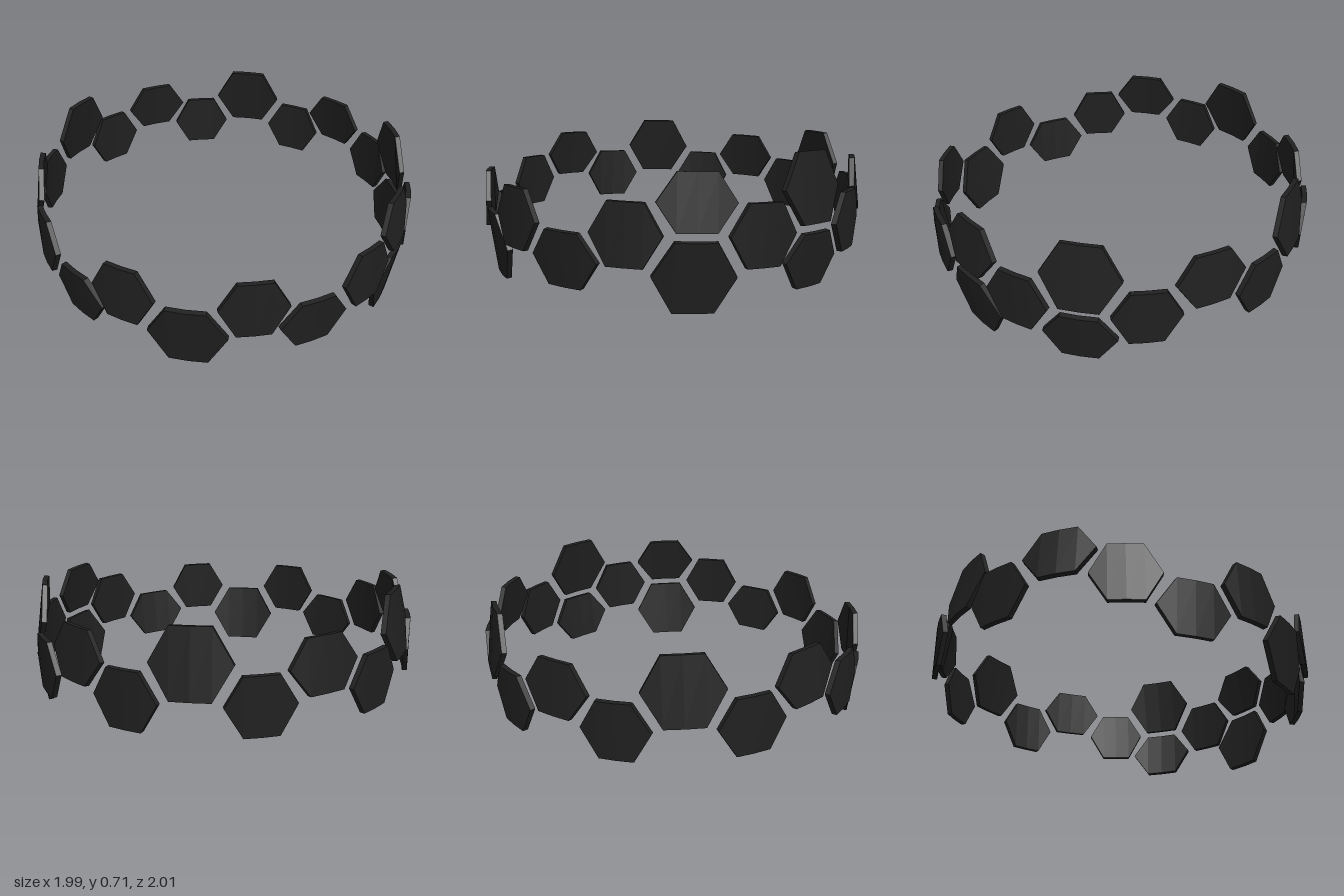
import * as THREE from 'three';

const RING_Y = 0.357;   // height of the ring's centre line
const STEPS = 20;       // stations around the ring
const THICKNESS = 0.026;

// Hexagonal tile: a box whose ends taper to points, bent to follow the ring
function tileGeometry(width, height) {
  const geo = new THREE.BoxGeometry(width, height, THICKNESS, 4, 1, 1).toNonIndexed();
  const pos = geo.attributes.position;
  for (let i = 0; i < pos.count; i++) {
    const x = pos.getX(i);
    const taper = Math.min(1, 2 - (4 * Math.abs(x)) / width);
    pos.setY(i, pos.getY(i) * taper);
    pos.setZ(i, pos.getZ(i) - (x * x) / 2);
  }
  geo.computeVertexNormals();
  return geo;
}

export function createModel() {
  const model = new THREE.Group();
  model.name = 'hexTileRing';

  const black = new THREE.MeshStandardMaterial({ color: 0x202020 });
  black.name = 'matteBlack';

  // Tile kinds: distance from the axis, height offset and inward lean
  const kinds = {
    middle: { geo: tileGeometry(0.332, 0.29), radius: 0.986, offset: 0, lean: 0 },
    big: { geo: tileGeometry(0.381, 0.334), radius: 0.956, offset: 0.188, lean: 0.165 },
    small: { geo: tileGeometry(0.357, 0.265), radius: 0.968, offset: 0.147, lean: 0.135 },
  };

  // The whole ring tips up slightly at the front
  const ring = new THREE.Group();
  ring.name = 'ring';
  ring.position.y = RING_Y;
  ring.rotation.x = -0.028;
  model.add(ring);

  function addTile(name, kind, station, side) {
    const { geo, radius, offset, lean } = kinds[kind];
    const angle = (station / STEPS) * Math.PI * 2;
    const tile = new THREE.Mesh(geo, black);
    tile.name = name;
    tile.position.set(Math.sin(angle) * radius, side * offset, Math.cos(angle) * radius);
    tile.rotation.order = 'YXZ';
    tile.rotation.set(-side * lean, angle, 0);
    ring.add(tile);
  }

  // Middle row: every second station
  for (let k = 0; k < STEPS; k += 2) addTile('middleTile', 'middle', k, 0);

  // Tiles above and below, placed between the middle ones
  for (const k of [7, 11, 15]) addTile('upperLargeTile', 'big', k, 1);
  for (const k of [1, 5]) addTile('lowerLargeTile', 'big', k, -1);
  for (const k of [5, 9, 13, 17]) addTile('upperSmallTile', 'small', k, 1);
  for (const k of [3, 7, 19]) addTile('lowerSmallTile', 'small', k, -1);

  return model;
}
